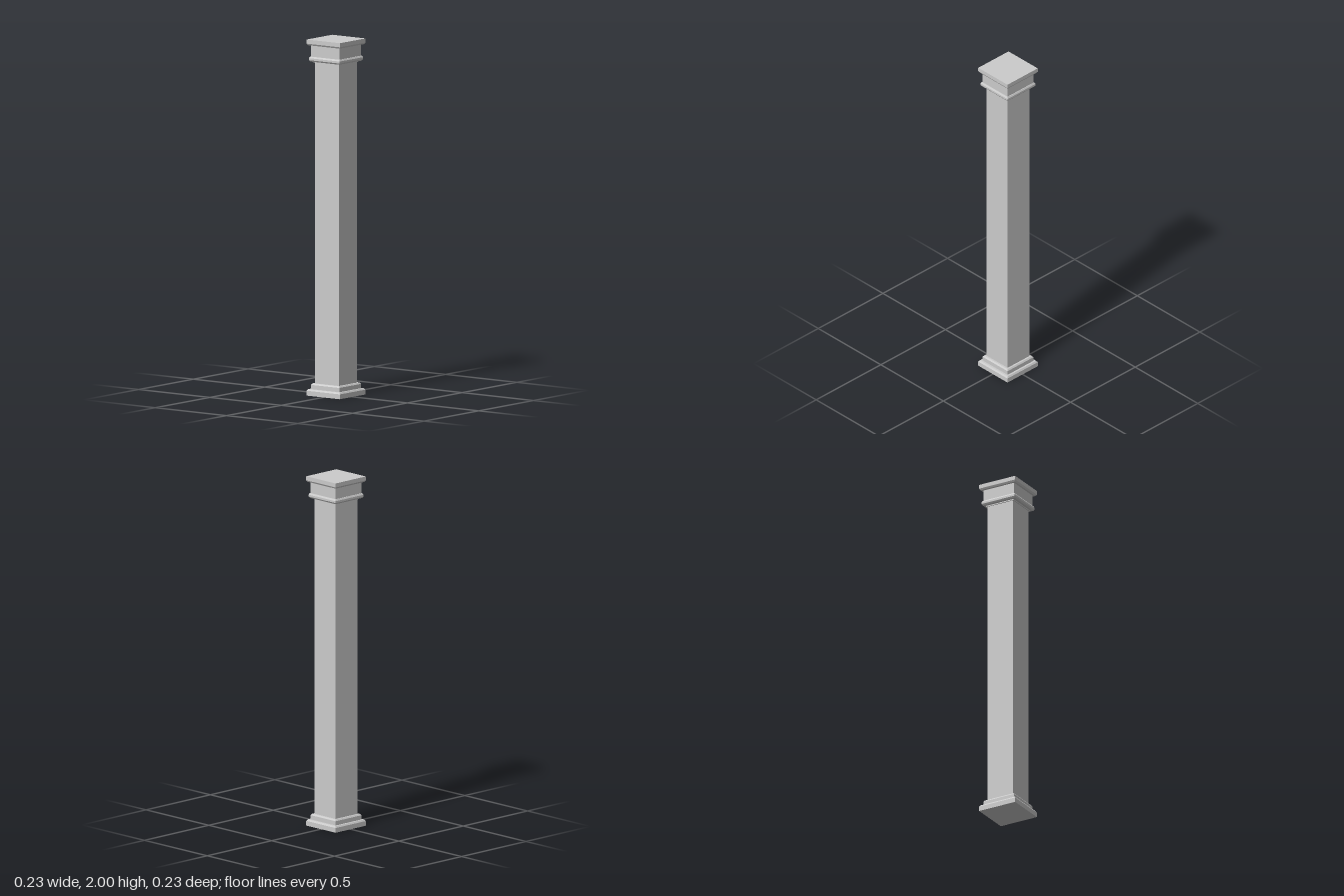
import * as THREE from 'three';

const material = new THREE.MeshStandardMaterial({ color: 0xcccccc, flatShading: true });

// Sweeps a moulding profile of [half width, height] points round a square plan.
function squareTurned(name, profile) {
  const points = profile.map(([half, y]) => new THREE.Vector2(half * Math.SQRT2, y));
  const geometry = new THREE.LatheGeometry(points, 4, Math.PI / 4).toNonIndexed();
  geometry.computeVertexNormals();
  const mesh = new THREE.Mesh(geometry, material);
  mesh.name = name;
  return mesh;
}

export function createModel() {
  const column = new THREE.Group();
  column.name = 'squareColumn';

  const shaftHalf = 0.084;
  const shaftBottom = 0.068;
  const shaftTop = 1.87;

  // Stepped base: plinth, then a smaller block with sloped top edges
  column.add(squareTurned('base', [
    [0, 0], [0.117, 0], [0.117, 0.027], [0.111, 0.036], [0.1, 0.036],
    [0.1, 0.06], [0.094, 0.068], [shaftHalf, shaftBottom],
  ]));

  // Plain square shaft
  column.add(squareTurned('shaft', [[shaftHalf, shaftBottom], [shaftHalf, shaftTop]]));

  // Capital: collar moulding, neck block and top slab
  column.add(squareTurned('capital', [
    [shaftHalf, shaftTop], [0.089, shaftTop], [0.089, 1.876], [0.102, 1.876],
    [0.108, 1.884], [0.108, 1.895], [0.103, 1.904], [0.1, 1.904],
    [0.1, 1.968], [0.111, 1.968], [0.117, 1.977], [0.117, 2], [0, 2],
  ]));

  return column;
}
